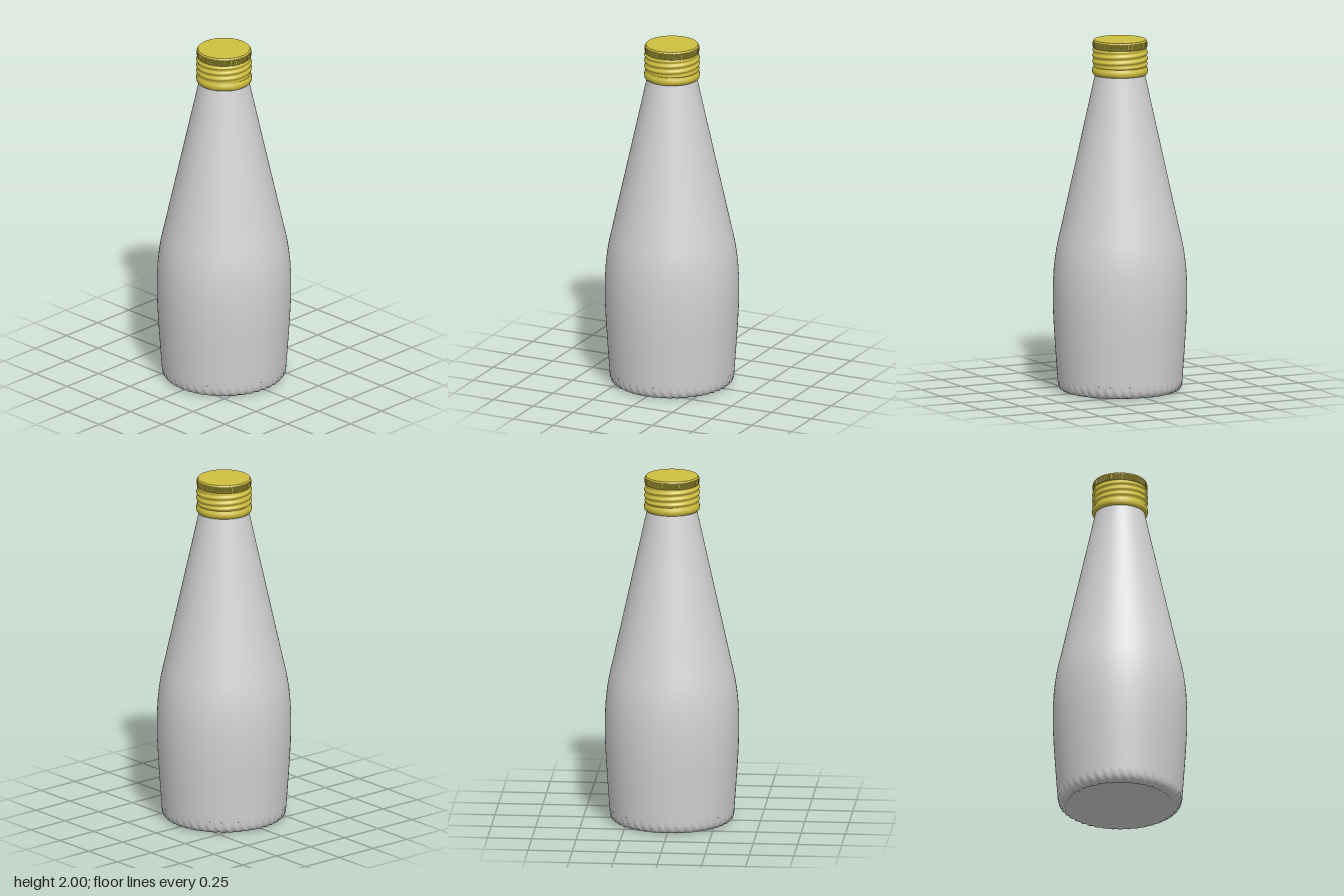
import * as THREE from 'three';
import { mergeVertices, toCreasedNormals } from 'three/addons/utils/BufferGeometryUtils.js';

// Lathe a [radius, height] profile, optionally shifting each radius by a rule (angle, y, r).
function turned(profile, segments, rule, crease) {
  let geo = new THREE.LatheGeometry(profile.map(([r, y]) => new THREE.Vector2(r, y)), segments);
  const p = geo.attributes.position;
  if (rule) {
    for (let i = 0; i < p.count; i++) {
      const x = p.getX(i), y = p.getY(i), z = p.getZ(i);
      const r = Math.hypot(x, z);
      if (r < 0.01) continue;
      const k = (r + rule(Math.atan2(x, z), y, r)) / r;
      p.setXYZ(i, x * k, y, z * k);
    }
  }
  // weld the seam so that shading is continuous all round
  geo.deleteAttribute('uv');
  geo.deleteAttribute('normal');
  geo = mergeVertices(geo, 1e-5);
  geo.computeVertexNormals();
  return crease ? toCreasedNormals(geo, crease) : geo;
}

export function createModel() {
  const model = new THREE.Group();
  model.name = 'bottle';

  const glass = new THREE.MeshStandardMaterial({ color: 0xd2d2d2 });
  glass.name = 'pale grey';
  const metal = new THREE.MeshStandardMaterial({ color: 0xcfbf40 });
  metal.name = 'yellow';

  const add = (name, geo, mat) => {
    const mesh = new THREE.Mesh(geo, mat);
    mesh.name = name;
    model.add(mesh);
  };

  // Body: gently swelling sides, rounded shoulder and a straight tapering neck
  add('body', turned([
    [0.352, 0.07], [0.358, 0.15], [0.365, 0.25], [0.372, 0.36], [0.377, 0.46],
    [0.378, 0.55], [0.377, 0.62], [0.373, 0.69], [0.367, 0.75], [0.358, 0.81],
    [0.347, 0.865], [0.334, 0.92], [0.31, 1.03], [0.266, 1.23], [0.222, 1.43],
    [0.178, 1.63], [0.139, 1.81],
  ], 96), glass);

  // Base: shallow recess, foot and slanted flutes around the rounded heel
  const flute = (a, y, r) => {
    const fade = r < 0.295 ? 0 : Math.max(0, 1 - y / 0.065);
    return 0.005 * fade * Math.sin(44 * (a + (r - 0.3) * 2.5));
  };
  add('base', turned([
    [0, 0.012], [0.28, 0.012], [0.292, 0.008], [0.303, 0.001], [0.312, 0],
    [0.326, 0.005], [0.338, 0.014], [0.346, 0.028], [0.35, 0.048], [0.352, 0.07],
  ], 264, flute, 0.7), glass);

  // Cap collar: rolled band with a narrow groove above it
  add('capCollar', turned([
    [0.13, 1.803], [0.148, 1.801], [0.155, 1.808], [0.157, 1.822],
    [0.156, 1.836], [0.149, 1.844], [0.148, 1.849],
  ], 72, null, 0.9), metal);

  // Cap threads: a helical ridge, faded out at both ends
  const y0 = 1.848, y1 = 1.955, rows = 28;
  const threadProfile = [];
  for (let i = 0; i <= rows; i++) threadProfile.push([0.149, y0 + (y1 - y0) * i / rows]);
  const thread = (a, y) => {
    const t = (y - y0) / (y1 - y0);
    const fade = Math.min(1, 8 * t, 8 * (1 - t));
    return 0.004 * fade * (1 + Math.sin(2 * Math.PI * y / 0.034 - a));
  };
  add('capThreads', turned(threadProfile, 72, thread), metal);

  // Cap rim: knurled grip and bevelled flat top
  const knurl = (a, y) => (y > 1.96 && y < 1.988 ? -0.002 + 0.002 * Math.sign(Math.sin(72 * a + 0.5)) : 0);
  add('capRim', turned([
    [0.149, 1.954], [0.153, 1.958], [0.154, 1.963], [0.154, 1.986],
    [0.152, 1.992], [0.146, 2], [0, 2],
  ], 288, knurl, 0.6), metal);

  return model;
}
